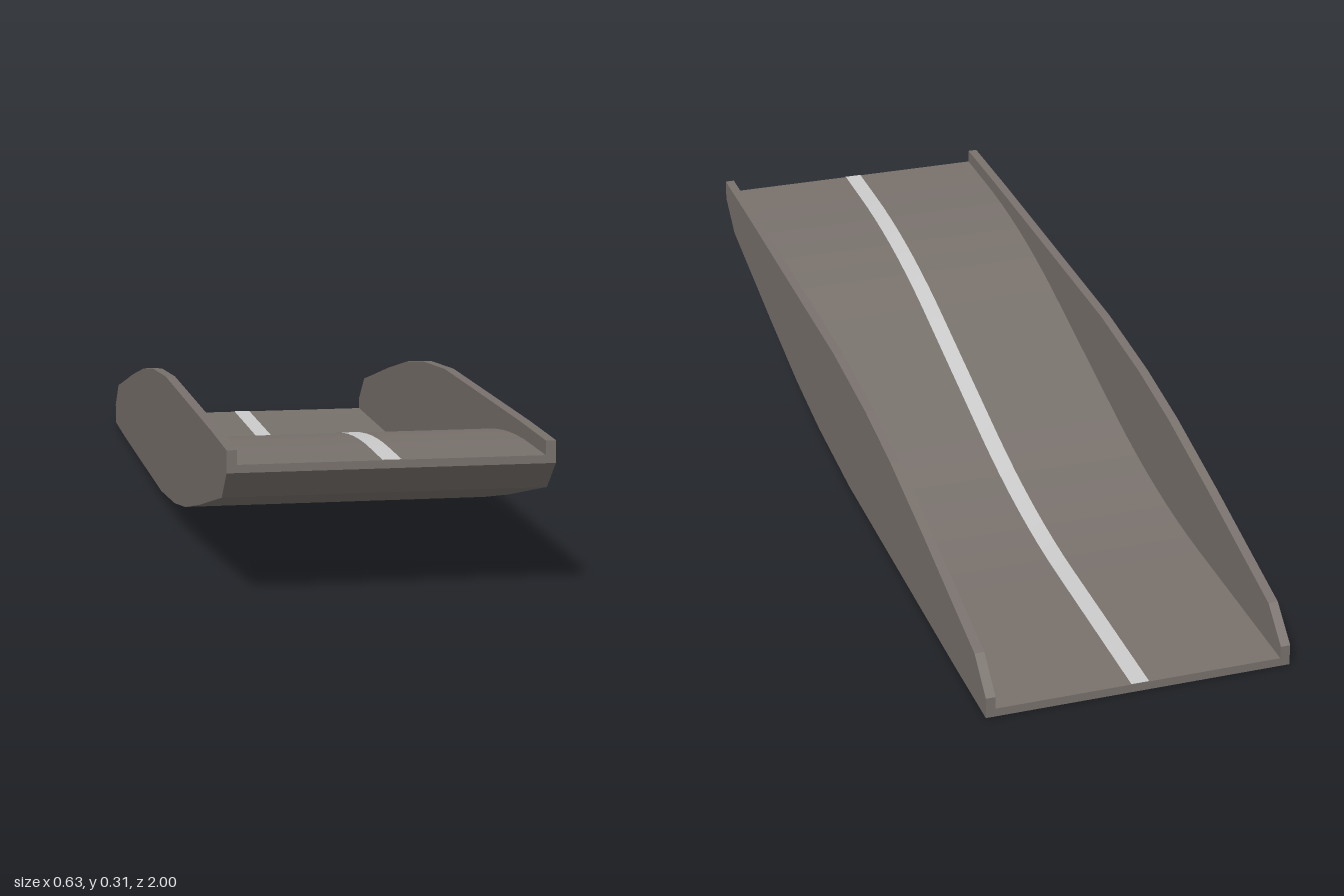
import * as THREE from 'three';

const HALF_WIDTH = 0.317, WALL = 0.02, MID_Y = 0.154, STEPS = 32;

// Upper edge of the side walls as [z, y]; the lower edge is its half-turn copy
const crest = [
  [1, 0.308], [0.78, 0.306], [0.05, 0.29], [-0.19, 0.268], [-0.37, 0.239],
  [-0.6, 0.187], [-0.8, 0.137], [-0.93, 0.105], [-1, 0.044],
];
const underside = crest.map(([z, y]) => [-z, 2 * MID_Y - y]);

// Road height: gentle ends, rounded transitions and a steeper straight middle
function roadHeight(z) {
  const centre = 0.15, a = 0.71, b = 0.2, flat = 0.015, steep = 0.27;
  const d = Math.abs(z - centre);
  let h = steep * Math.min(d, b);
  if (d > b) {
    const t = Math.min(d, a) - b;
    h += steep * t - (steep - flat) * t * t / (2 * (a - b));
  }
  if (d > a) h += flat * (d - a);
  return 0.151 + Math.sign(z - centre) * h;
}

const road = [];
for (let i = 0; i <= STEPS; i++) {
  const z = 1 - 2 * i / STEPS;
  road.push([z, roadHeight(z)]);
}

// Extrude a side profile across x, centred on the given x
function slab(name, profile, width, x, material) {
  const shape = new THREE.Shape(profile.map(([z, y]) => new THREE.Vector2(z, y)));
  const geometry = new THREE.ExtrudeGeometry(shape, { depth: width, bevelEnabled: false });
  geometry.translate(0, 0, -width / 2);
  geometry.rotateY(-Math.PI / 2);
  const mesh = new THREE.Mesh(geometry, material);
  mesh.name = name;
  mesh.position.x = x;
  return mesh;
}

// Flat painted strip that follows the road surface
function paintedLine(width, x) {
  const geometry = new THREE.PlaneGeometry(width, 2, 1, STEPS);
  geometry.rotateX(-Math.PI / 2);
  const pos = geometry.attributes.position;
  for (let i = 0; i < pos.count; i++) pos.setY(i, roadHeight(pos.getZ(i)) + 0.001);
  geometry.computeVertexNormals();
  const paint = new THREE.MeshStandardMaterial({ color: 0xcccccc, side: THREE.DoubleSide });
  const mesh = new THREE.Mesh(geometry, paint);
  mesh.name = 'centreLine';
  mesh.position.x = x;
  return mesh;
}

export function createModel() {
  const group = new THREE.Group();
  group.name = 'ramp';
  const stone = new THREE.MeshStandardMaterial({ color: 0x78716c, flatShading: true });

  // Solid deck between the walls
  group.add(slab('deck', [...road, ...underside], 2 * (HALF_WIDTH - WALL), 0, stone));

  // Side walls
  for (const side of [1, -1]) {
    const name = side > 0 ? 'leftWall' : 'rightWall';
    group.add(slab(name, [...crest, ...underside], WALL, side * (HALF_WIDTH - WALL / 2), stone));
  }

  group.add(paintedLine(0.037, -0.001));
  return group;
}
